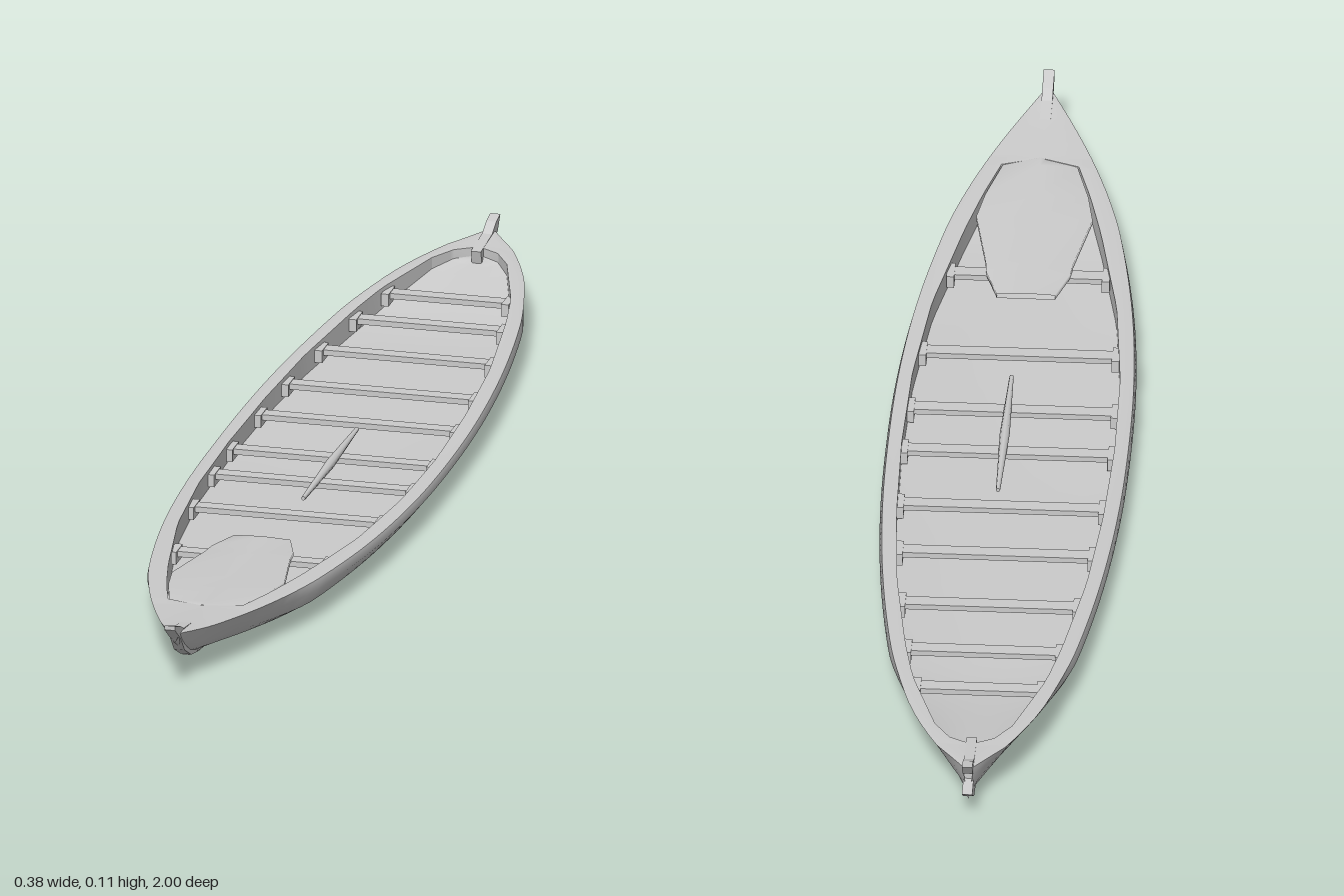
import * as THREE from 'three';

const mat = new THREE.MeshStandardMaterial({ color: 0xcccccc, side: THREE.DoubleSide });

// Tables of [z, value]
const WIDTH = [[-0.97, 0.008], [-0.94, 0.028], [-0.9, 0.055], [-0.8, 0.098], [-0.7, 0.126], [-0.6, 0.147], [-0.4, 0.172],
  [-0.2, 0.186], [0, 0.19], [0.2, 0.186], [0.4, 0.17], [0.6, 0.139], [0.7, 0.114], [0.8, 0.081], [0.9, 0.041], [0.97, 0.008]];
const SHEER = [[-0.97, 0.078], [-0.9, 0.074], [-0.7, 0.067], [-0.4, 0.058], [0, 0.052], [0.4, 0.058], [0.7, 0.069], [0.9, 0.081], [0.97, 0.09]];
const KEEL = [[-0.97, 0.02], [-0.9, 0.01], [-0.7, 0.005], [0, 0.004], [0.6, 0.004], [0.7, 0.007], [0.8, 0.015], [0.9, 0.034], [0.97, 0.075]];
const INNER = [[-0.9, 0], [-0.88, 0.035], [-0.84, 0.06], [-0.7, 0.103], [-0.6, 0.121], [-0.4, 0.147], [-0.2, 0.16], [0, 0.165],
  [0.2, 0.161], [0.4, 0.143], [0.6, 0.106], [0.7, 0.083], [0.78, 0.06], [0.8, 0]];

function sample(table, z, smooth = true) {
  const n = table.length - 1;
  if (z <= table[0][0]) return table[0][1];
  if (z >= table[n][0]) return table[n][1];
  let i = 0;
  while (table[i + 1][0] < z) i++;
  const [z0, a] = table[i], [z1, b] = table[i + 1], h = z1 - z0, t = (z - z0) / h;
  if (!smooth) return a + (b - a) * t;
  const slope = (j) => {
    const p = table[Math.max(j - 1, 0)], q = table[Math.min(j + 1, n)];
    return (q[1] - p[1]) / (q[0] - p[0]);
  };
  const t2 = t * t, t3 = t2 * t;
  return a * (2 * t3 - 3 * t2 + 1) + slope(i) * h * (t3 - 2 * t2 + t) + b * (3 * t2 - 2 * t3) + slope(i + 1) * h * (t3 - t2);
}
const width = (z) => sample(WIDTH, z);
const sheer = (z) => sample(SHEER, z);
const keel = (z) => sample(KEEL, z);
const inner = (z) => sample(INNER, z, false);
const endBlend = (z) => THREE.MathUtils.smoothstep(Math.abs(z), 0.6, 0.95);

// Skin through cross-sections given by section(z) -> [[x, y], ...]
function loft(zs, section) {
  const pos = [], index = [];
  const m = section(zs[0]).length;
  zs.forEach((z, i) => {
    section(z).forEach(([x, y], j) => {
      pos.push(x, y, z);
      if (i && j) {
        const a = (i - 1) * m + j - 1, b = a + 1, c = a + m, d = c + 1;
        index.push(a, b, c, b, d, c);
      }
    });
  });
  const g = new THREE.BufferGeometry();
  g.setAttribute('position', new THREE.Float32BufferAttribute(pos, 3));
  g.setIndex(index);
  g.computeVertexNormals();
  return g;
}

// Side outline [z, y] given a thickness across x
function sideProfile(points, thick) {
  const shape = new THREE.Shape(points.map(([z, y]) => new THREE.Vector2(-z, y)));
  const g = new THREE.ExtrudeGeometry(shape, { depth: thick, bevelEnabled: false });
  return g.translate(0, 0, -thick / 2).rotateY(Math.PI / 2);
}

export function createModel() {
  const group = new THREE.Group();
  const add = (name, geometry) => {
    const mesh = new THREE.Mesh(geometry, mat);
    mesh.name = name;
    group.add(mesh);
    return mesh;
  };
  const range = (a, b, n) => Array.from({ length: n + 1 }, (_, i) => a + ((b - a) * i) / n);
  const hullZ = [...range(-0.97, 0.97, 60), -0.9, -0.88, -0.84, 0.78, 0.8].sort((a, b) => a - b);
  const wellZ = hullZ.filter((z) => z >= -0.9 && z <= 0.8);

  // Outer hull: flat bilge amidships, fine V at the ends
  const MID = [0, 0.4, 0.75, 0.93, 1, 0.98], END = [0, 0.2, 0.35, 0.55, 0.8, 1], RISE = [0, 0.1, 0.2, 0.42, 0.75, 1];
  add('hull', loft(hullZ, (z) => {
    const w = width(z), k = keel(z), g = sheer(z), e = endBlend(z);
    const half = RISE.map((r, i) => [w * THREE.MathUtils.lerp(MID[i], END[i], e), k + (g - k) * r]);
    return [...half.slice(1).reverse().map(([x, y]) => [-x, y]), ...half];
  }));

  // Gunwale rim, closing into small decks at bow and stern
  const edge = (z) => width(z) * THREE.MathUtils.lerp(0.98, 1, endBlend(z));
  for (const side of [1, -1]) {
    add(side > 0 ? 'leftGunwale' : 'rightGunwale', loft(hullZ, (z) => {
      const o = edge(z), n = z < -0.9 || z > 0.8 ? 0 : inner(z), g = sheer(z);
      return [[o, g], [(o + n) / 2, g + 0.002], [n, g + 0.002]].map(([x, y]) => [side * x, y]);
    }));
  }

  // Inside walls and curved floor
  const floorY = (z) => keel(z) + (sheer(z) - keel(z)) * (0.4 + 0.45 * endBlend(z));
  for (const side of [1, -1]) {
    add(side > 0 ? 'leftInnerWall' : 'rightInnerWall', loft(wellZ, (z) =>
      [[side * inner(z), sheer(z) + 0.002], [side * inner(z), floorY(z)]]));
  }
  add('floor', loft(wellZ, (z) => range(-1, 1, 8).map((t) =>
    [t * inner(z), floorY(z) - 0.008 * (1 - t * t)])));

  // Crossbeams
  for (const z of [-0.71, -0.595, -0.455, -0.3, -0.16, 0, 0.12, 0.28, 0.5]) {
    const top = sheer(z) - 0.006;
    add('crossbeam', new THREE.BoxGeometry(2 * inner(z) + 0.01, 0.009, 0.024)).position.set(0, top - 0.0045, z);
    for (const s of [1, -1]) {
      add('beamKnee', new THREE.BoxGeometry(0.012, 0.02, 0.04)).position.set(s * (inner(z) - 0.004), top - 0.009, z);
    }
  }

  // Central tapering spar resting on the middle beams
  const spar = new THREE.CylinderGeometry(0.003, 0.003, 0.33, 8, 6).rotateX(Math.PI / 2);
  const sp = spar.attributes.position;
  for (let i = 0; i < sp.count; i++) {
    const s = 1.1 + 1.5 * (1 - Math.abs(sp.getZ(i)) / 0.165);
    sp.setXY(i, sp.getX(i) * s, sp.getY(i) * s);
  }
  spar.computeVertexNormals();
  add('centreSpar', spar).position.set(0.008, 0.048, 0.045);

  // Fore platform, following the sheer
  const PANEL = [[0.43, 0.045], [0.49, 0.065], [0.52, 0.068], [0.64, 0.09], [0.7, 0.08], [0.78, 0.058], [0.8, 0.01]];
  add('forePlatform', loft(PANEL.map((p) => p[0]), (z) => {
    const w = sample(PANEL, z, false), y = sheer(z) + 0.001;
    return [[-w, y - 0.008], [-w, y], [0, y + 0.002], [w, y], [w, y - 0.008], [-w, y - 0.008]];
  }));

  // Keel strip, upswept stem and forked stern post
  add('keelStrip', loft(range(-0.93, 0.9, 30), (z) => {
    const k = keel(z);
    return [[-0.007, k + 0.004], [-0.005, k - 0.004], [0.005, k - 0.004], [0.007, k + 0.004]];
  }));
  add('stem', sideProfile([[0.86, 0.022], [0.9, 0.031], [0.94, 0.052], [0.965, 0.08], [1, 0.105], [1, 0.112],
    [0.965, 0.1], [0.945, 0.09], [0.9, 0.083]], 0.017));
  add('sternPost', sideProfile([[-0.88, 0.075], [-0.95, 0.08], [-0.975, 0.092], [-1, 0.096], [-0.985, 0.075],
    [-0.962, 0.062], [-0.962, 0.052], [-1, 0.046], [-0.975, 0.028], [-0.95, 0.013], [-0.9, 0.008]], 0.016));
  return group;
}
